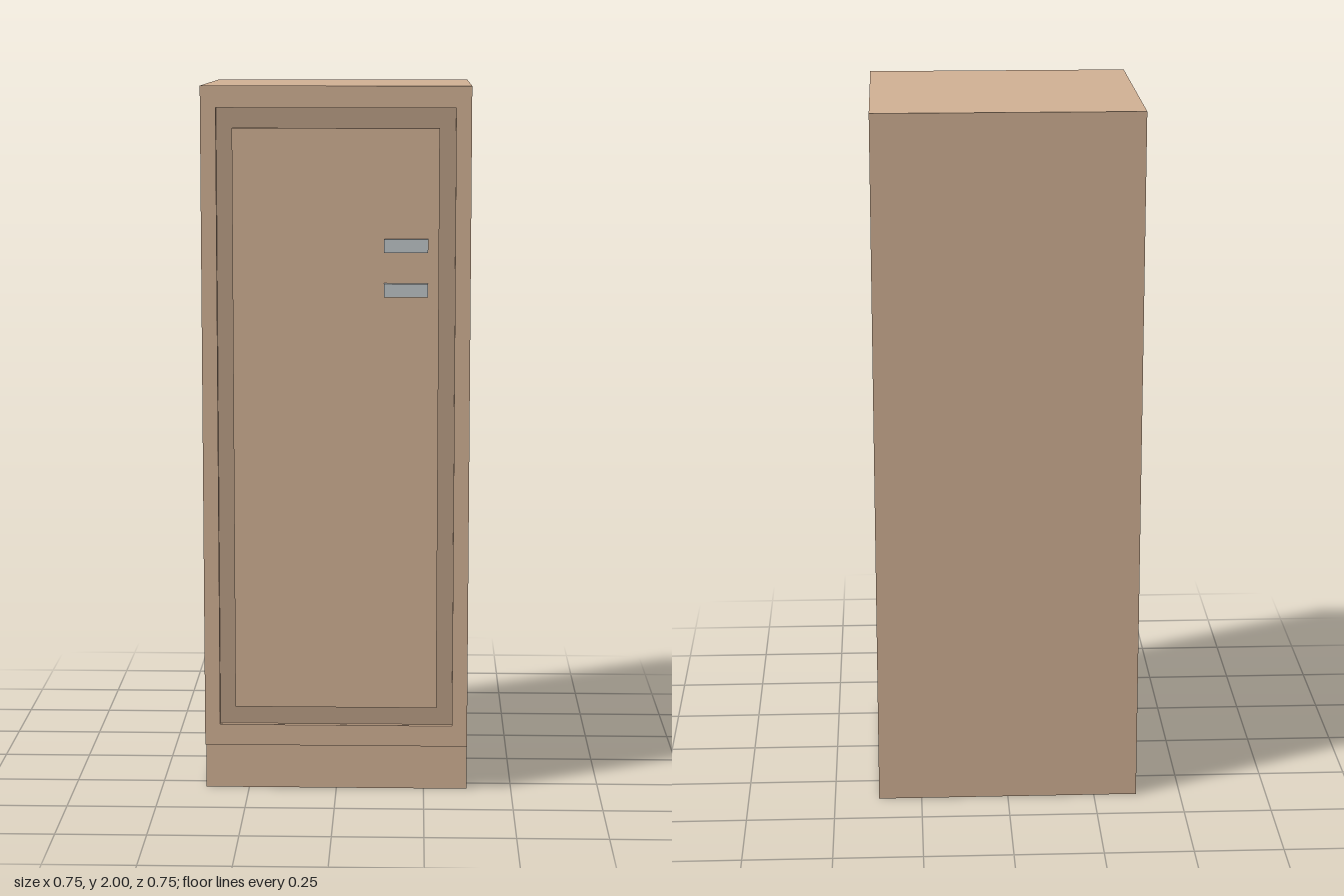
import * as THREE from 'three';

const wood = new THREE.MeshStandardMaterial({ color: 0xd2b194 });
const darkWood = new THREE.MeshStandardMaterial({ color: 0xba9e85 });
const metal = new THREE.MeshStandardMaterial({ color: 0xbfc6c9 });

const HALF = 0.373; // half width
const BACK = -0.373, RECESS = 0.323, FACE = 0.34, KICK = 0.305;
const KICK_TOP = 0.135, TOP = 2;

// Box given by its minimum and maximum corners
function box(name, material, [x0, y0, z0], [x1, y1, z1]) {
  const mesh = new THREE.Mesh(new THREE.BoxGeometry(x1 - x0, y1 - y0, z1 - z0), material);
  mesh.position.set((x0 + x1) / 2, (y0 + y1) / 2, (z0 + z1) / 2);
  mesh.name = name;
  return mesh;
}

const corners = (x0, y0, x1, y1) =>
  [[x0, y0], [x1, y0], [x1, y1], [x0, y1]].map(([x, y]) => new THREE.Vector2(x, y));

export function createModel() {
  const cabinet = new THREE.Group();
  cabinet.name = 'cabinet';

  // Carcass: side profile with a set-back toe kick, extruded across the width
  const profile = new THREE.Shape(
    [[BACK, 0], [KICK, 0], [KICK, KICK_TOP], [RECESS, KICK_TOP], [RECESS, TOP], [BACK, TOP]]
      .map(([z, y]) => new THREE.Vector2(-z, y)));
  const carcassGeometry = new THREE.ExtrudeGeometry(profile, { depth: 2 * HALF, bevelEnabled: false });
  carcassGeometry.translate(0, 0, -HALF).rotateY(Math.PI / 2);
  const carcass = new THREE.Mesh(carcassGeometry, wood);
  carcass.name = 'carcass';
  cabinet.add(carcass);

  // Front frame around the door recess
  const outline = new THREE.Shape(corners(-HALF, KICK_TOP, HALF, TOP));
  outline.holes.push(new THREE.Path(corners(-0.33, 0.195, 0.33, 1.94).reverse()));
  const frameGeometry = new THREE.ExtrudeGeometry(outline, { depth: FACE - RECESS, bevelEnabled: false });
  const frame = new THREE.Mesh(frameGeometry, wood);
  frame.position.z = RECESS;
  frame.name = 'frontFrame';
  cabinet.add(frame);

  // Dark recess floor and raised door panel
  cabinet.add(box('doorRecess', darkWood, [-0.33, 0.195, RECESS - 0.01], [0.33, 1.94, RECESS + 0.002]));
  cabinet.add(box('doorPanel', wood, [-0.285, 0.252, RECESS], [0.285, 1.885, 0.356]));

  // Two short bar handles
  for (const [name, y] of [['upperHandle', 1.545], ['lowerHandle', 1.423]]) {
    cabinet.add(box(name, metal, [0.134, y, 0.356], [0.255, y + 0.037, 0.373]));
  }
  return cabinet;
}
